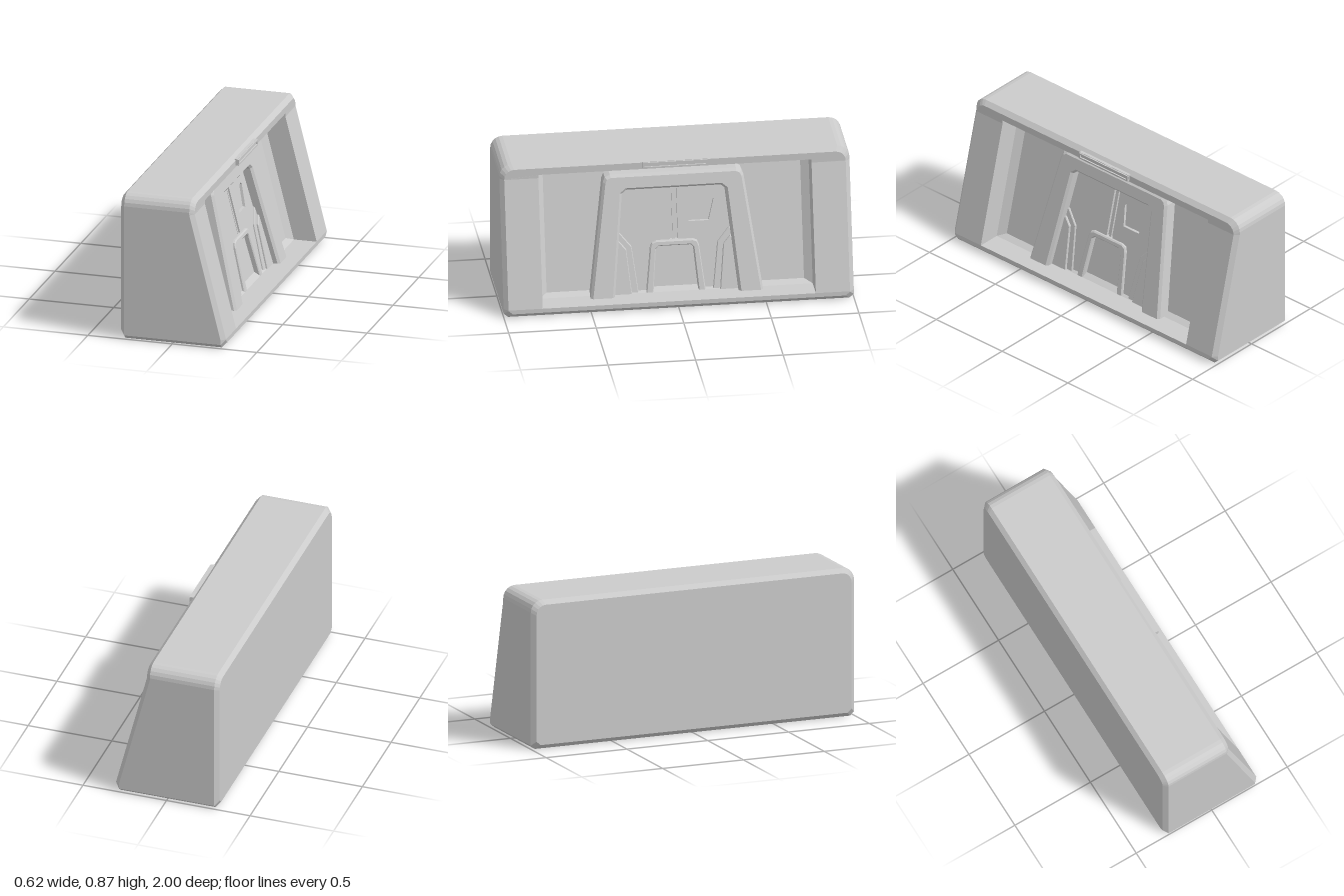
import * as THREE from 'three';

const material = new THREE.MeshStandardMaterial({ color: 0xcccccc, flatShading: true });
const DEPTH = 0.165; // recess depth, measured along x

// x of the sloping front plane at height y
const slope = (y) => 0.31 - 0.253 * (y - 0.05);
const frontX = (y) => Math.min(0.31, Math.max(0.125, slope(y)));

function addMesh(parent, name, geometry) {
  const mesh = new THREE.Mesh(geometry, material);
  mesh.name = name;
  parent.add(mesh);
  return mesh;
}

// Mirrors a half outline of [z, y] points, running on the +z side from bottom to top
const mirrored = (half) => [...half, ...half.map(([z, y]) => [-z, y]).reverse()];

// Outer section: bottom corners chamfered, top corners rounded
function outerHalf(inset) {
  const w = 1 - inset, top = 0.865 - inset, r = 0.07 - inset / 2;
  const half = [[w - 0.025, inset], [w, inset + 0.022], [w, 0.05], [w, 0.78]];
  for (let i = 0; i <= 5; i++) {
    const a = (i / 5) * Math.PI / 2;
    half.push([w - r + r * Math.cos(a), top - r + r * Math.sin(a)]);
  }
  return half;
}

// Rectangular section with the same number of points as the outer one
function openingHalf(w, bottom, top) {
  const half = [[w, bottom], [w, bottom], [w, bottom], [w, top - 0.02]];
  for (let i = 0; i <= 5; i++) half.push([w, top]);
  return half;
}

function bodyGeometry() {
  const section = (half, xOf) => mirrored(half).map(([z, y]) => [xOf(y), y, z]);
  const opening = openingHalf(0.78, 0.05, 0.8);
  const wall = openingHalf(0.735, 0.07, 0.76);
  const point = (x, y) => outerHalf(0).concat(outerHalf(0)).map(() => [x, y, 0]);
  const rings = [
    point(-0.31, 0.43),
    section(outerHalf(0.025), () => -0.31),
    section(outerHalf(0), () => -0.285),
    section(outerHalf(0), (y) => frontX(y) - 0.025),
    section(outerHalf(0.025), frontX),
    section(opening, frontX),
    section(opening, (y) => slope(y) - DEPTH + 0.03),
    section(wall, (y) => slope(y) - DEPTH),
    point(slope(0.4) - DEPTH, 0.4),
  ];
  const n = rings[0].length, index = [];
  for (let r = 0; r < rings.length - 1; r++) {
    for (let i = 0; i < n; i++) {
      const j = (i + 1) % n;
      const a = r * n + i, b = a + n, c = (r + 1) * n + j, d = r * n + j;
      index.push(a, b, c, a, c, d);
    }
  }
  const indexed = new THREE.BufferGeometry();
  indexed.setAttribute('position', new THREE.Float32BufferAttribute(rings.flat(2), 3));
  indexed.setIndex(index);
  const geometry = indexed.toNonIndexed();
  geometry.computeVertexNormals();
  return geometry;
}

const toPoints = (list) => list.map(([x, y]) => new THREE.Vector2(x, y));

// Plate lying on the sloping recess wall, standing out by height
function relief(points, height, bevel, holes = []) {
  const shape = new THREE.Shape(toPoints(points));
  holes.forEach((h) => shape.holes.push(new THREE.Path(toPoints(h))));
  const geometry = new THREE.ExtrudeGeometry(shape, {
    depth: height + 0.02 - bevel, bevelEnabled: bevel > 0, bevelSegments: 1,
    bevelSize: bevel, bevelThickness: bevel, bevelOffset: -bevel,
  });
  geometry.translate(0, 0, -0.02).rotateY(Math.PI / 2);
  const p = geometry.attributes.position;
  for (let i = 0; i < p.count; i++) p.setX(i, p.getX(i) + slope(p.getY(i)) - DEPTH);
  geometry.computeVertexNormals();
  return geometry;
}

// Inverted U: outer half outline up one side, inner one back
function arch(outer, inner) {
  return [...mirrored(outer), ...mirrored(inner).reverse()];
}

export function createModel() {
  const group = new THREE.Group();
  addMesh(group, 'body', bodyGeometry());

  // Thick surround of the doorway
  addMesh(group, 'doorSurround', relief(arch(
    [[0.495, 0.03], [0.402, 0.695], [0.39, 0.722], [0.36, 0.735]],
    [[0.355, 0.03], [0.295, 0.625], [0.27, 0.645]],
  ), 0.078, 0.014));

  // Door leaves with sunken windows, and stepped side braces
  for (const s of [1, -1]) {
    const side = (list) => list.map(([x, y]) => [s * x, y]);
    addMesh(group, s > 0 ? 'rightDoor' : 'leftDoor', relief(
      side([[0.37, 0.03], [0.31, 0.66], [0.022, 0.66], [0.022, 0.32], [0.115, 0.32], [0.15, 0.03]]),
      0.016, 0,
      [side([[0.085, 0.43], [0.2, 0.43], [0.232, 0.55], [0.225, 0.562], [0.075, 0.562], [0.068, 0.55]])],
    ));
    addMesh(group, 'lowerBrace', relief(
      side([[0.21, 0.03], [0.245, 0.31], [0.312, 0.39], [0.33, 0.39], [0.37, 0.03]]), 0.026, 0.004));
    addMesh(group, 'upperBrace', relief(
      side([[0.25, 0.03], [0.277, 0.3], [0.316, 0.345], [0.335, 0.345], [0.37, 0.03]]), 0.038, 0.004));
  }
  addMesh(group, 'doorSeam', relief(
    [[-0.007, 0.31], [0.007, 0.31], [0.007, 0.65], [-0.007, 0.65]], 0.012, 0));

  // Low arch at the foot of the doors
  addMesh(group, 'lowerArch', relief(arch(
    [[0.172, 0.03], [0.14, 0.3], [0.13, 0.325], [0.105, 0.335]],
    [[0.13, 0.03], [0.107, 0.29], [0.092, 0.305]],
  ), 0.032, 0.006));

  // Handle on the brow
  const handle = new THREE.Group();
  handle.name = 'handle';
  group.add(handle);
  addMesh(handle, 'handlePlate', new THREE.BoxGeometry(0.03, 0.038, 0.37)).position.set(0.121, 0.829, 0);
  for (const y of [0.815, 0.841]) {
    addMesh(handle, 'handleRail', new THREE.BoxGeometry(0.02, 0.009, 0.37)).position.set(0.134, y, 0);
  }
  for (const z of [-0.18, 0.18]) {
    addMesh(handle, 'handleEnd', new THREE.BoxGeometry(0.02, 0.035, 0.009)).position.set(0.134, 0.828, z);
  }
  return group;
}
